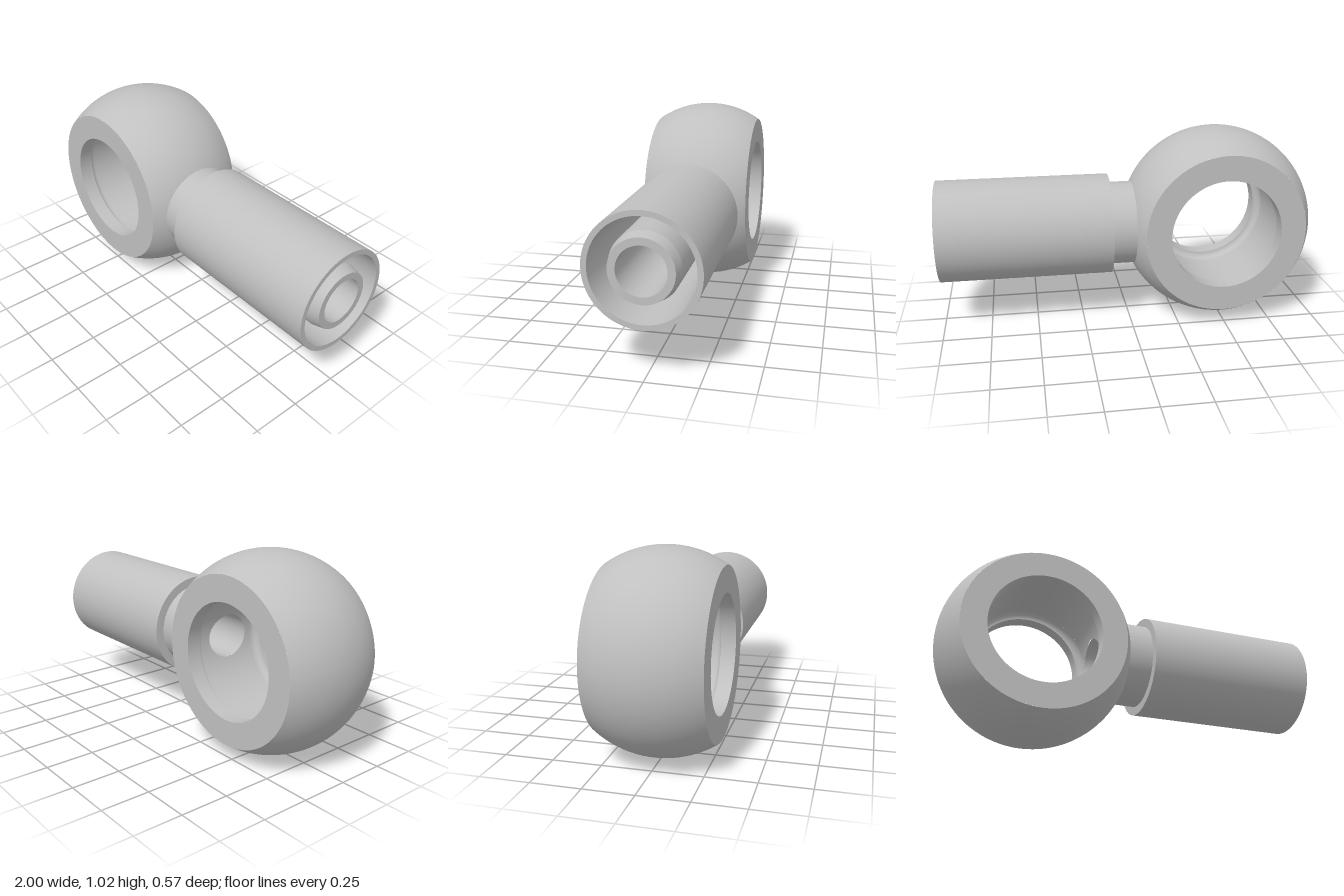
import * as THREE from 'three';
import { mergeGeometries } from 'three/addons/utils/BufferGeometryUtils.js';

const CX = -0.488, CY = 0.512;              // eye centre
const R = 0.512, HALF = 0.285;              // ball radius, half width between flats
const HOLE = 0.293, LIP = 0.207;            // bolt hole radius, inner end of the lip
const CAVITY = 0.33, WALL = 0.17, BORE = 0.115;
const ballR = z => Math.sqrt(R * R - z * z);
const cavityR = () => CAVITY;

// Surface of revolution about z; leaves a gap of +-gap radians around +x
function turnZ(points, gap = 0) {
  const g = new THREE.LatheGeometry(points.map(p => new THREE.Vector2(...p)), 112,
    Math.PI / 2 + gap, Math.PI * 2 - gap * 2);
  return g.rotateX(Math.PI / 2);
}

// Fills that gap with a curved patch pierced by a round hole along x
function piercedPatch(radiusAt, gap, halfZ, hole, inward) {
  const N = 96, K = 8, pos = [], nor = [], index = [];
  for (let i = 0; i <= N; i++) {
    const t = i / N * Math.PI * 2, c = Math.cos(t), s = Math.sin(t);
    const m = 1 / Math.max(Math.abs(c), Math.abs(s));
    const phi0 = Math.asin(hole * c / radiusAt(hole * s));
    for (let k = 0; k <= K; k++) {
      const f = k / K;
      const phi = phi0 + (gap * c * m - phi0) * f;
      const z = hole * s + (halfZ * s * m - hole * s) * f;
      const r = radiusAt(z);
      const p = new THREE.Vector3(r * Math.cos(phi), r * Math.sin(phi), z);
      pos.push(p.x, p.y, p.z);
      const n = inward ? new THREE.Vector3(-p.x, -p.y, 0) : p.clone();
      n.normalize();
      nor.push(n.x, n.y, n.z);
      if (i < N && k < K) {
        const a = i * (K + 1) + k, b = a + 1, d = a + K + 1, e = d + 1;
        if (inward) index.push(a, e, b, a, d, e);
        else index.push(a, b, e, a, e, d);
      }
    }
  }
  const g = new THREE.BufferGeometry();
  g.setAttribute('position', new THREE.Float32BufferAttribute(pos, 3));
  g.setAttribute('normal', new THREE.Float32BufferAttribute(nor, 3));
  g.setIndex(index);
  return g;
}

// Turned part about x with sharp edges: one band per profile segment [radius, x]
function turnX(profile) {
  const bands = [];
  for (let i = 0; i < profile.length - 1; i++) {
    const pts = [profile[i], profile[i + 1]].map(p => new THREE.Vector2(...p));
    bands.push(new THREE.LatheGeometry(pts, 96));
  }
  return mergeGeometries(bands).rotateZ(-Math.PI / 2);
}

export function createModel() {
  const model = new THREE.Group();
  const steel = new THREE.MeshStandardMaterial({ color: 0xc0c0c0 });
  steel.name = 'steel grey';
  const add = (name, geometry, parent) => {
    const mesh = new THREE.Mesh(geometry, steel);
    mesh.name = name;
    parent.add(mesh);
    return mesh;
  };

  const eye = new THREE.Group();
  eye.name = 'eye';
  eye.position.set(CX, CY, 0);
  model.add(eye);

  // Spherical outside, opened under the neck
  const arc = [];
  for (let i = 0; i <= 24; i++) {
    const z = -HALF + 2 * HALF * i / 24;
    arc.push([ballR(z), z]);
  }
  add('ballSurface', turnZ(arc, 0.6), eye);
  add('ballNeckPatch', piercedPatch(ballR, 0.6, HALF, 0.2, false), eye);

  // Cavity wall with the fluid port
  add('cavityWall', turnZ([[CAVITY, WALL], [CAVITY, -WALL]], 0.55), eye);
  add('cavityPort', piercedPatch(cavityR, 0.55, WALL, BORE, true), eye);

  // Flat face, hole lip and rounded groove corner on each side
  const fillet = [];
  for (let i = 0; i <= 8; i++) {
    const t = (1 - i / 8) * Math.PI / 2, f = CAVITY - HOLE;
    fillet.push([HOLE + f * Math.cos(t), WALL + f * Math.sin(t)]);
  }
  for (const side of ['front', 'back']) {
    const half = new THREE.Group();
    half.name = side + 'Rim';
    if (side === 'back') half.rotation.y = Math.PI;
    eye.add(half);
    add(side + 'Face', new THREE.RingGeometry(HOLE, ballR(HALF), 112), half).position.z = HALF;
    add(side + 'Lip', turnZ([[HOLE, HALF], [HOLE, LIP]]), half);
    add(side + 'GrooveFillet', turnZ(fillet), half);
  }

  // Neck, hose sleeve, inner nipple and bore
  const tail = new THREE.Group();
  tail.name = 'tail';
  tail.position.y = CY;
  model.add(tail);
  add('neck', turnX([[0.222, -0.05], [0.222, 0.1]]), tail);
  add('sleeve', turnX([[0.222, 0.1], [0.268, 0.1], [0.268, 1], [0.242, 1], [0.228, 0.14], [0.16, 0.14]]), tail);
  add('nipple', turnX([[0.165, 0.14], [0.165, 0.94], [0.15, 1], [BORE, 1]]), tail);
  add('bore', turnX([[BORE, 1], [BORE, -0.175]]), tail);

  return model;
}
